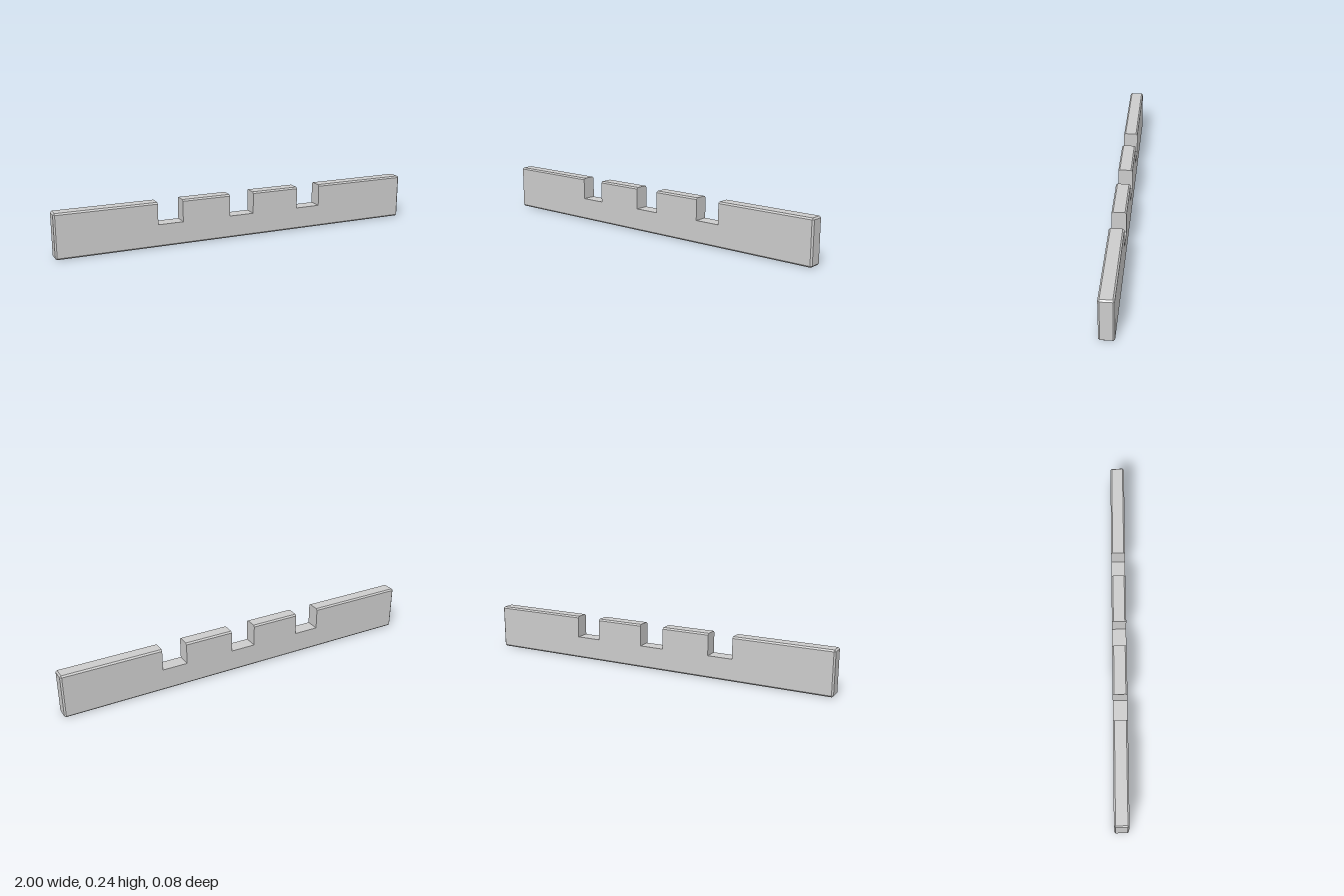
import * as THREE from 'three';

const HALF_LENGTH = 1, HEIGHT = 0.237, HALF_DEPTH = 0.038, BEVEL = 0.008;
const NOTCH_FLOOR = 0.12, NOTCH_HALF = 0.068, NOTCH_CENTRES = [-0.4, 0, 0.4];

// Eight-cornered cross-section at x, with its own bottom and top chamfers
function section(x, w, y0, y1, cBottom, cTop) {
  return [
    [-w + cBottom, y0], [w - cBottom, y0], [w, y0 + cBottom], [w, y1 - cTop],
    [w - cTop, y1], [-w + cTop, y1], [-w, y1 - cTop], [-w, y0 + cBottom],
  ].map(([z, y]) => new THREE.Vector3(x, y, z));
}

const full = (x) => section(x, HALF_DEPTH, 0, HEIGHT, BEVEL, BEVEL);
const notched = (x) => section(x, HALF_DEPTH, 0, NOTCH_FLOOR, BEVEL, 0);
const end = (x) => section(x, HALF_DEPTH - BEVEL, BEVEL, HEIGHT - BEVEL, 0, 0);

// Joins the sections along +x and closes both ends
function loft(sections) {
  const points = [];
  const tri = (a, b, c) => {
    if (new THREE.Triangle(a, b, c).getArea() > 1e-9) points.push(a, b, c);
  };
  for (let i = 0; i < sections.length - 1; i++) {
    const s = sections[i], t = sections[i + 1];
    for (let j = 0; j < 8; j++) {
      const k = (j + 1) % 8;
      tri(s[j], t[k], s[k]);
      tri(s[j], t[j], t[k]);
    }
  }
  const first = sections[0], last = sections[sections.length - 1];
  for (let j = 1; j < 7; j++) {
    tri(first[0], first[j], first[j + 1]);
    tri(last[0], last[j + 1], last[j]);
  }
  const geometry = new THREE.BufferGeometry().setFromPoints(points);
  geometry.computeVertexNormals();
  return geometry;
}

export function createModel() {
  const group = new THREE.Group();
  group.name = 'notchedBar';

  // Bevelled bar; each notch steps down and back up at a single x
  const sections = [end(-HALF_LENGTH), full(-HALF_LENGTH + BEVEL)];
  for (const c of NOTCH_CENTRES) {
    const a = c - NOTCH_HALF, b = c + NOTCH_HALF;
    sections.push(full(a), notched(a), notched(b), full(b));
  }
  sections.push(full(HALF_LENGTH - BEVEL), end(HALF_LENGTH));

  const material = new THREE.MeshStandardMaterial({ color: 0xcccccc, flatShading: true });
  const bar = new THREE.Mesh(loft(sections), material);
  bar.name = 'bar';
  group.add(bar);
  return group;
}
